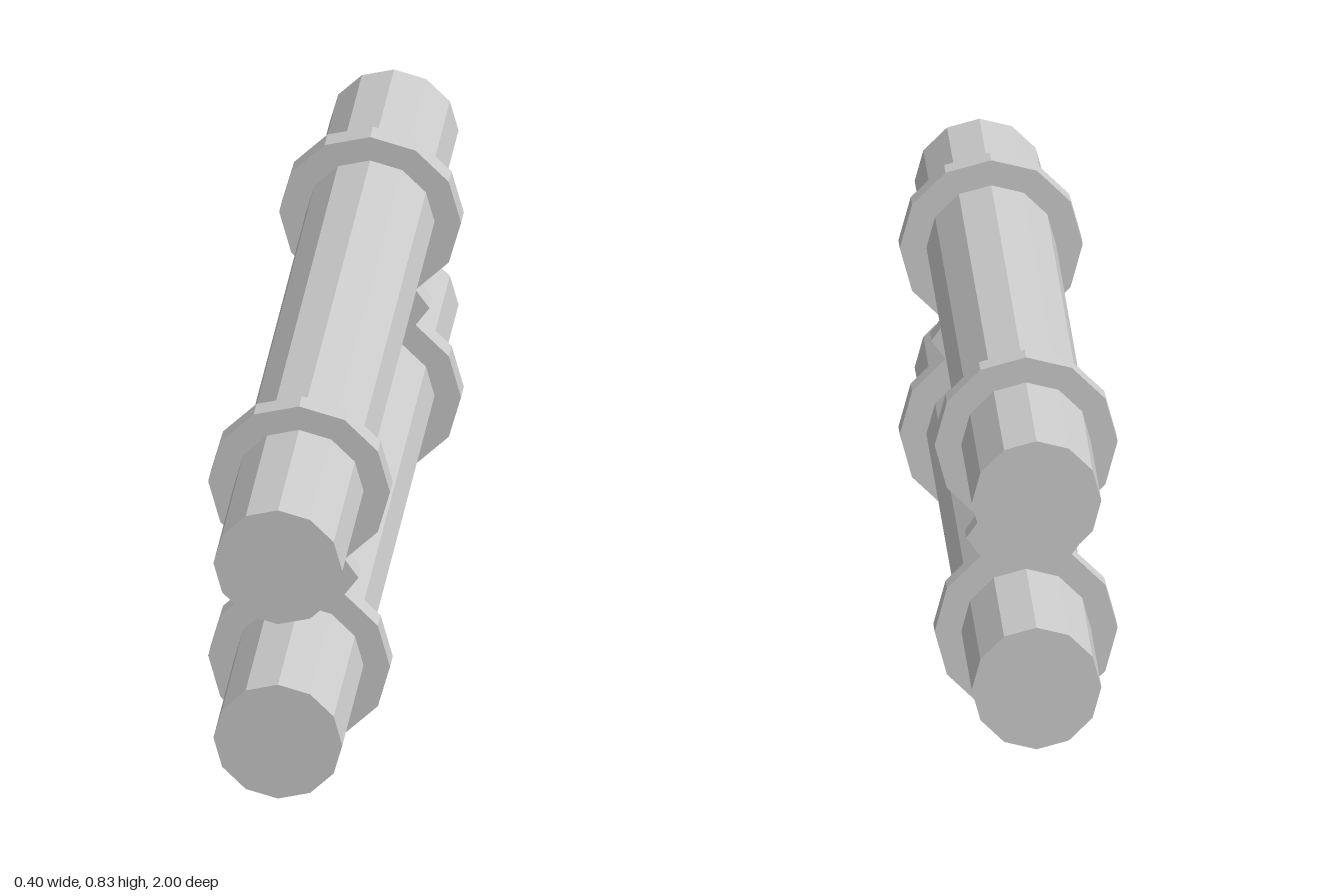
import * as THREE from 'three';

const SIDES = 12;
const PIPE_RADIUS = 0.141;
const CLAMP_RADIUS = 0.199;
const CLAMP_DEPTH = 0.048;
const LOWER_Y = 0.2;
const UPPER_Y = 0.632;
const WAIST_Y = (LOWER_Y + UPPER_Y) / 2;

// Eleven corners of a 12-sided ring, counter-clockwise, open towards the waist
function ringArc(centreY, startDegrees) {
  return Array.from({ length: 11 }, (_, i) => {
    const a = THREE.MathUtils.degToRad(startDegrees + i * 30);
    return new THREE.Vector2(CLAMP_RADIUS * Math.cos(a), centreY + CLAMP_RADIUS * Math.sin(a));
  });
}

export function createModel() {
  const group = new THREE.Group();
  group.name = 'twinPipes';
  const material = new THREE.MeshStandardMaterial({ color: 0xcccccc, flatShading: true });

  // Two parallel pipes running front to back
  const pipeGeometry = new THREE.CylinderGeometry(PIPE_RADIUS, PIPE_RADIUS, 2, SIDES);
  pipeGeometry.rotateX(Math.PI / 2);
  for (const [name, y] of [['lowerPipe', LOWER_Y], ['upperPipe', UPPER_Y]]) {
    const pipe = new THREE.Mesh(pipeGeometry, material);
    pipe.name = name;
    pipe.position.y = y;
    group.add(pipe);
  }

  // Clamp plates: two rings joined by a waist with a pointed nub on each side
  const outline = new THREE.Shape([
    ...ringArc(LOWER_Y, 120),
    new THREE.Vector2(0.13, WAIST_Y),
    ...ringArc(UPPER_Y, -60),
    new THREE.Vector2(-0.13, WAIST_Y),
  ]);
  const clampGeometry = new THREE.ExtrudeGeometry(outline, { depth: CLAMP_DEPTH, bevelEnabled: false });
  clampGeometry.translate(0, 0, -CLAMP_DEPTH / 2);
  for (const [name, z] of [['frontClamp', 0.611], ['backClamp', -0.611]]) {
    const clamp = new THREE.Mesh(clampGeometry, material);
    clamp.name = name;
    clamp.position.z = z;
    group.add(clamp);
  }

  return group;
}
